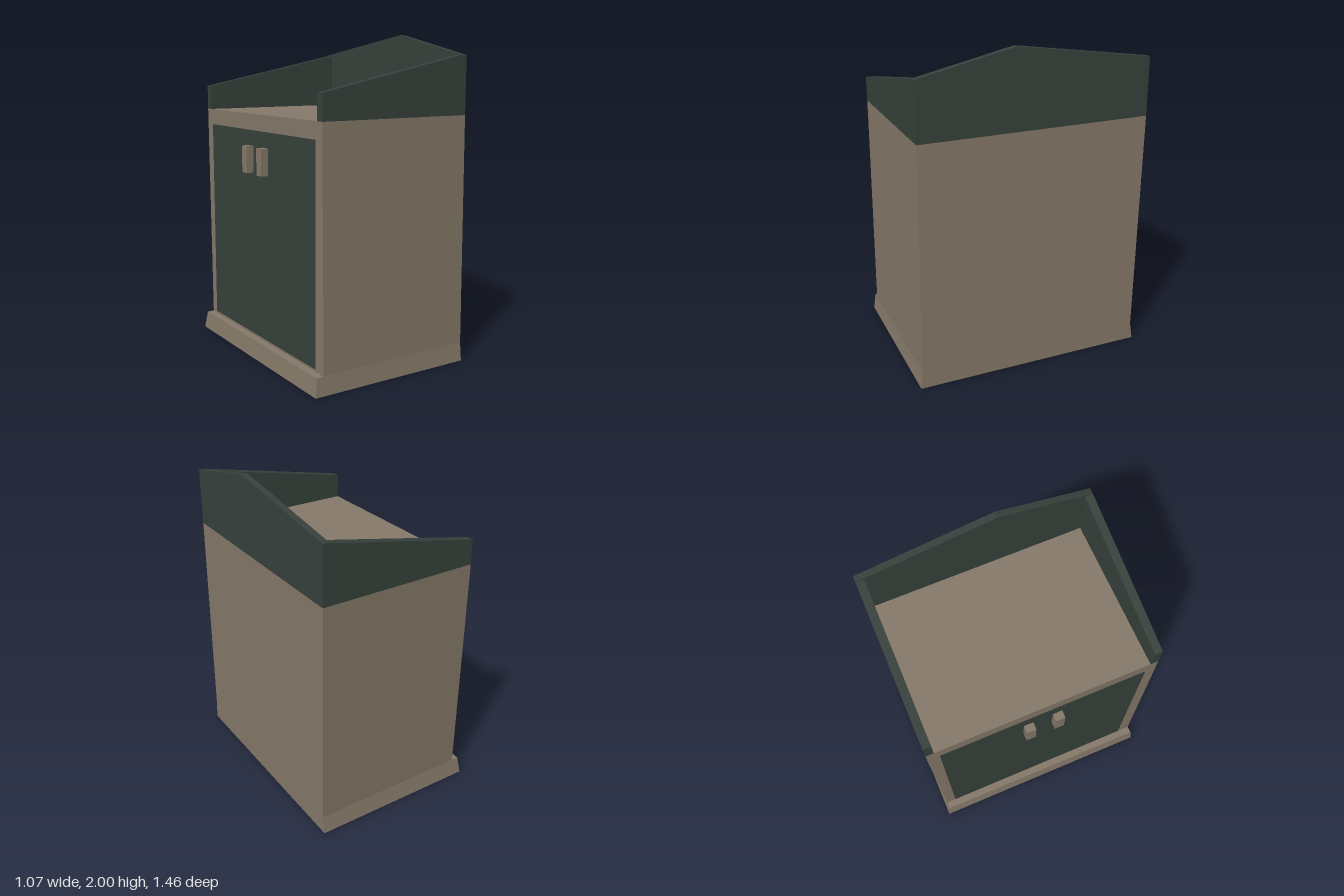
import * as THREE from 'three';

const tan = new THREE.MeshStandardMaterial({ color: 0x857969, flatShading: true });
const dark = new THREE.MeshStandardMaterial({ color: 0x37413c, flatShading: true });

// Box whose bottom and top rectangles differ: each is [x0, x1, z0, z1]
function taperedBox(name, material, y0, y1, bottom, top) {
  const geo = new THREE.BoxGeometry(1, 1, 1);
  const p = geo.attributes.position;
  for (let i = 0; i < p.count; i++) {
    const up = p.getY(i) > 0;
    const r = up ? top : bottom;
    p.setXYZ(i, p.getX(i) < 0 ? r[0] : r[1], up ? y1 : y0, p.getZ(i) < 0 ? r[2] : r[3]);
  }
  geo.computeVertexNormals();
  const mesh = new THREE.Mesh(geo, material);
  mesh.name = name;
  return mesh;
}

// Upright wall cut from an outline and given a thickness along +z
function wall(name, outline, thickness) {
  const shape = new THREE.Shape(outline.map(([a, b]) => new THREE.Vector2(a, b)));
  const geo = new THREE.ExtrudeGeometry(shape, { depth: thickness, bevelEnabled: false });
  const mesh = new THREE.Mesh(geo, dark);
  mesh.name = name;
  return mesh;
}

export function createModel() {
  const model = new THREE.Group();
  model.name = 'cabinet';

  // Flared plinth and the cabinet body, flush on the +x side
  model.add(taperedBox('plinth', tan, 0, 0.11, [-0.535, 0.53, -0.73, 0.73], [-0.52, 0.53, -0.712, 0.718]));
  model.add(taperedBox('body', tan, 0.11, 1.52, [-0.475, 0.53, -0.712, 0.718], [-0.475, 0.53, -0.727, 0.705]));

  // Dark door panel with two handles on the -x side
  model.add(taperedBox('doorPanel', dark, 0.125, 1.42, [-0.478, -0.46, -0.65, 0.635], [-0.478, -0.46, -0.65, 0.635]));
  for (const z of [-0.105, 0.08]) {
    const r = [-0.525, -0.47, z - 0.03, z + 0.03];
    model.add(taperedBox('handle', tan, 1.16, 1.325, r, r));
  }

  // Sloping side walls around the top
  const slope = [[-0.475, 1.52], [0.49, 1.52], [0.49, 1.872], [-0.475, 1.672]];
  for (const [name, z] of [['frontRim', 0.655], ['backRim', -0.727]]) {
    const rim = wall(name, slope, 0.05);
    rim.position.z = z;
    model.add(rim);
  }

  // Gabled wall on the +x side; its outline runs along -z after the turn
  const gable = wall('gableRim', [[-0.705, 1.52], [0.727, 1.52], [0.727, 1.877], [-0.12, 2], [-0.705, 1.872]], 0.04);
  gable.rotation.y = Math.PI / 2;
  gable.position.x = 0.49;
  model.add(gable);

  return model;
}
